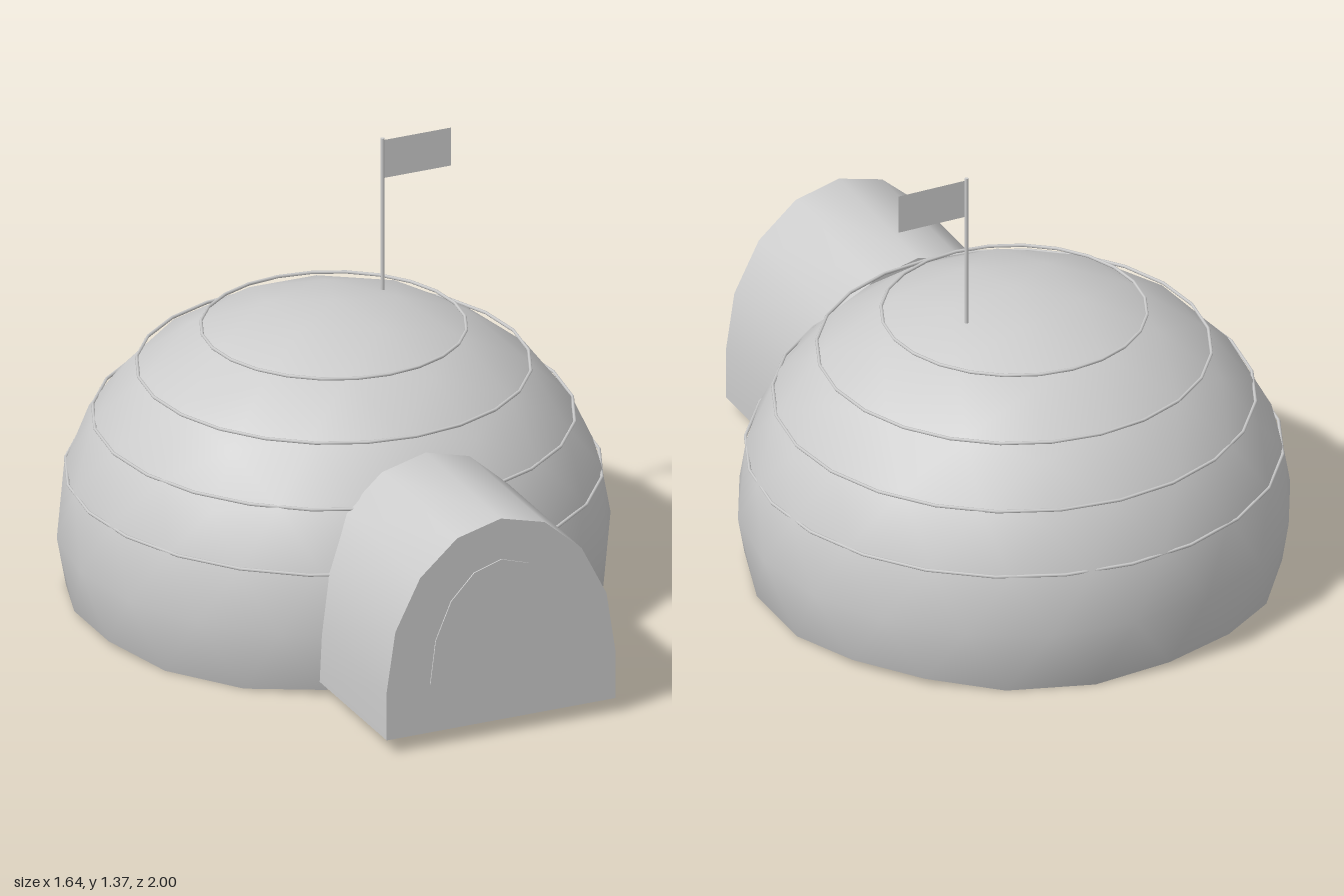
import * as THREE from 'three';
import { toCreasedNormals } from 'three/addons/utils/BufferGeometryUtils.js';

const CENTER_Z = -0.18;

// Dome: geodesic sphere with one pole up, cut off one row below its equator
function domeGeometry() {
  const verts = [0, 1, 0];
  const faces = [];
  const s = 1 / Math.sqrt(5);
  for (const side of [1, -1]) {
    for (let i = 0; i < 5; i++) {
      const a = (i + (side < 0 ? 0.5 : 0)) * Math.PI * 0.4;
      verts.push(2 * s * Math.cos(a), side * s, 2 * s * Math.sin(a));
    }
  }
  for (let i = 0; i < 5; i++) {
    const j = (i + 1) % 5;
    const u = 1 + i, v = 1 + j, l = 6 + i, m = 6 + j;
    faces.push(0, v, u, u, v, l, l, v, m);
  }
  const geo = new THREE.PolyhedronGeometry(verts, faces, 1, 3);
  geo.scale(0.82, 0.721, 0.82);
  geo.translate(0, 0.1993, CENTER_Z);
  const pos = geo.attributes.position;
  const keep = [];
  for (let i = 0; i < pos.count; i += 3) {
    const low = Math.min(pos.getY(i), pos.getY(i + 1), pos.getY(i + 2));
    if (low > -0.01) keep.push(i, i + 1, i + 2);
  }
  geo.setIndex(keep);
  return geo;
}

// Half-ellipse arch standing on straight sides, extruded along z
function archGeometry(halfWidth, rise, spring, bottom, depth) {
  const pts = [];
  if (bottom < spring) pts.push(new THREE.Vector2(-halfWidth, bottom), new THREE.Vector2(halfWidth, bottom));
  for (let i = 0; i <= 8; i++) {
    const a = (i / 8) * Math.PI;
    pts.push(new THREE.Vector2(halfWidth * Math.cos(a), spring + rise * Math.sin(a)));
  }
  const geo = new THREE.ExtrudeGeometry(new THREE.Shape(pts), { depth, bevelEnabled: false });
  return toCreasedNormals(geo, 0.6);
}

export function createModel() {
  const model = new THREE.Group();
  const grey = new THREE.MeshStandardMaterial({ color: 0xcccccc, side: THREE.DoubleSide });
  grey.name = 'pale grey';

  const add = (name, geo, x = 0, y = 0, z = 0) => {
    const mesh = new THREE.Mesh(geo, grey);
    mesh.name = name;
    mesh.position.set(x, y, z);
    model.add(mesh);
    return mesh;
  };

  add('dome', domeGeometry());

  // Thin seam rings around the dome: [radius, height]
  const rings = [[0.792, 0.385], [0.712, 0.56], [0.582, 0.717], [0.392, 0.84]];
  rings.forEach(([r, y], i) => {
    const ring = add(`seamRing${i + 1}`, new THREE.TorusGeometry(r, 0.005, 6, 24), 0, y, CENTER_Z);
    ring.rotation.x = Math.PI / 2;
  });

  // Entrance tunnel with a thin doorway plate on its front
  add('entranceTunnel', archGeometry(0.37, 0.49, 0.2, 0.045, 0.53), 0, 0, 0.466);
  add('doorway', archGeometry(0.23, 0.36, 0.2, 0.2, 0.004), 0, 0, 0.996);

  // Flag on a slim pole
  add('flagPole', new THREE.CylinderGeometry(0.006, 0.006, 0.487, 8), 0.195, 1.1305, -0.26);
  add('flag', new THREE.PlaneGeometry(0.217, 0.122), 0.3085, 1.306, -0.26);

  return model;
}
